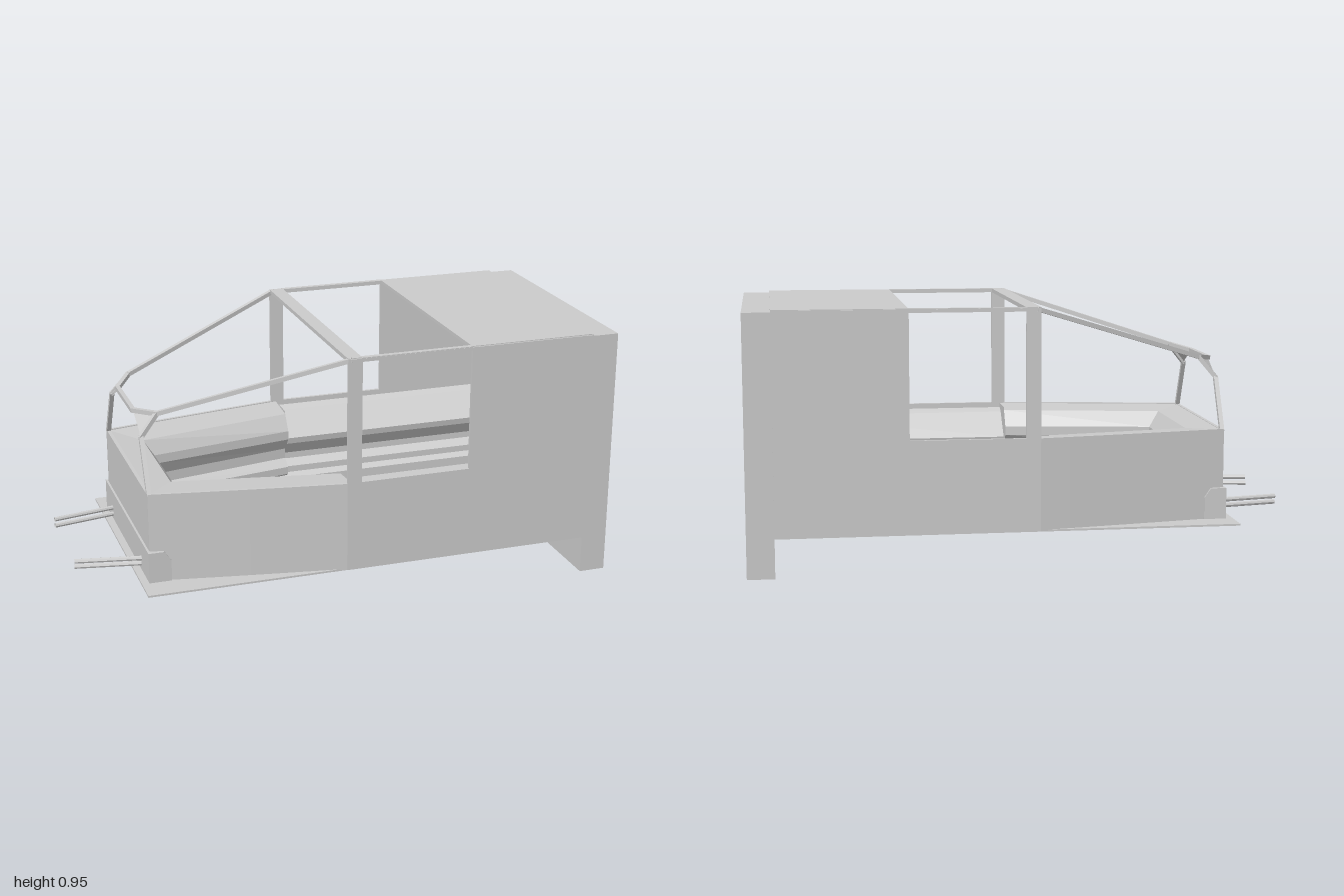
import * as THREE from 'three';

const mat = new THREE.MeshStandardMaterial({ color: 0xcccccc, side: THREE.DoubleSide, flatShading: true });

export function createModel() {
  const model = new THREE.Group();

  const add = (name, geometry) => {
    const mesh = new THREE.Mesh(geometry, mat);
    mesh.name = name;
    model.add(mesh);
    return mesh;
  };
  // box given by its limits on each axis
  const box = (name, x0, x1, y0, y1, z0, z1) =>
    add(name, new THREE.BoxGeometry(x1 - x0, y1 - y0, z1 - z0)
      .translate((x0 + x1) / 2, (y0 + y1) / 2, (z0 + z1) / 2));
  // surface stretched over rows of points
  const sheet = (name, rows) => {
    const n = rows[0].length, index = [];
    for (let i = 0; i < rows.length - 1; i++)
      for (let j = 0; j < n - 1; j++) {
        const a = i * n + j, b = a + n;
        index.push(a, b, a + 1, a + 1, b, b + 1);
      }
    const g = new THREE.BufferGeometry();
    g.setAttribute('position', new THREE.Float32BufferAttribute(rows.flat(2), 3));
    g.setIndex(index);
    const flat = g.toNonIndexed();
    flat.computeVertexNormals();
    return add(name, flat);
  };
  // straight square bar between two points
  const bar = (name, a, b, w = 0.016) => {
    const p = new THREE.Vector3(...a), q = new THREE.Vector3(...b);
    const mesh = add(name, new THREE.BoxGeometry(w, w, p.distanceTo(q) + w * 0.6));
    mesh.position.copy(p).add(q).multiplyScalar(0.5);
    mesh.lookAt(q);
    return mesh;
  };
  const polygon = (points) => new THREE.Shape(points.map(([x, y]) => new THREE.Vector2(x, y)));

  // rear slab, floor and roof
  box('rearWall', 0.9, 1, 0, 0.945, -0.475, 0.475);
  box('floor', -0.79, 0.9, 0.143, 0.15, -0.475, 0.475);
  box('roof', 0.42, 0.9, 0.94, 0.953, -0.475, 0.475);
  box('bulkhead', 0.885, 0.9, 0.145, 0.945, -0.475, 0.475);
  box('roofCrossbar', -0.05, 0.003, 0.938, 0.953, -0.475, 0.475);

  // nose: end plate and lower band
  box('nosePlate', -0.755, -0.742, 0.145, 0.482, -0.35, 0.35);
  box('noseBand', -0.763, -0.75, 0.145, 0.265, -0.37, 0.37);

  for (const s of [-1, 1]) {
    // side skin with window opening
    const side = polygon([[-0.05, 0.145], [0.9, 0.145], [0.9, 0.95], [-0.05, 0.95]]);
    side.holes.push(polygon([[0.003, 0.485], [0.003, 0.938], [0.42, 0.938], [0.42, 0.485]]));
    add('sidePanel', new THREE.ExtrudeGeometry(side, { depth: 0.012, bevelEnabled: false })
      .translate(0, 0, s > 0 ? 0.469 : -0.481));

    // roof edge above the window
    box('windowRail', 0, 0.42, 0.938, 0.953, s * 0.47 - 0.01, s * 0.47 + 0.01);

    // tapering nose side, slightly bowed
    const rows = [];
    for (let i = 0; i <= 6; i++) {
      const t = i / 6, x = -0.04 - 0.715 * t;
      const z = 0.481 - 0.126 * t + 0.012 * t * (1 - t);
      rows.push([[x, 0.145, s * (z - 0.012)], [x, 0.145, s * z], [x, 0.484, s * z], [x, 0.484, s * (z - 0.012)], [x, 0.145, s * (z - 0.012)]]);
    }
    sheet('noseSide', rows);

    // chamfered guard on the lower nose corner
    const guard = polygon([[-0.763, 0.145], [-0.68, 0.145], [-0.68, 0.23], [-0.705, 0.265], [-0.763, 0.265]]);
    add('cornerGuard', new THREE.ExtrudeGeometry(guard, { depth: 0.03, bevelEnabled: false })
      .translate(0, 0, s > 0 ? 0.345 : -0.375));

    // canopy frame: long strut, gusset and nose pillar
    const knee = [-0.685, 0.74, s * 0.235], front = [-0.748, 0.725, s * 0.13];
    const elbow = [-0.747, 0.665, s * 0.25];
    bar('canopyStrut', [-0.04, 0.945, s * 0.472], knee);
    bar('canopyCorner', knee, front);
    bar('canopyElbow', knee, elbow);
    bar('canopyPillar', elbow, [-0.748, 0.48, s * 0.347]);
    sheet('canopyGusset', [[front, front], [knee, elbow]]);

    // twin barrels, toed in towards the tip
    for (const [y, dz] of [[0.173, 0], [0.196, 0.006]]) {
      const a = new THREE.Vector3(-1, y, s * (0.197 + dz)), b = new THREE.Vector3(-0.745, y, s * (0.247 + dz));
      add('gunBarrel', new THREE.TubeGeometry(new THREE.LineCurve3(a, b), 1, 0.009, 8));
    }

    // rear console: faceted profile along the cabin
    const profile = [[0.47, 0.465], [0.44, 0.45], [0.35, 0.36], [0.355, 0.335], [0.4, 0.28], [0.4, 0.255],
      [0.36, 0.235], [0.36, 0.21], [0.385, 0.2], [0.36, 0.185], [0.36, 0.15]];
    sheet('rearConsole', [-0.03, 0.89].map((x) => profile.map(([z, y]) => [x, y, s * z])));
  }
  bar('canopyFrontBar', [-0.748, 0.725, -0.13], [-0.748, 0.725, 0.13]);

  // front console: the profile (distance outwards, height) runs round the nose in a U
  const inner = [[0.04, 0.47], [0, 0.41], [0, 0.375], [0.045, 0.32], [0.045, 0.28], [0.005, 0.255],
    [0.005, 0.225], [0.03, 0.21], [0.005, 0.19], [0.005, 0.15]];
  const rings = inner.map(([d, y]) => [
    [-0.03, y, -0.3 - d], [-0.6 - d, y, -0.205 - d / 2],
    [-0.6 - d, y, 0.205 + d / 2], [-0.03, y, 0.3 + d]]);
  const sill = [[-0.03, 0.481, -0.475], [-0.748, 0.481, -0.35], [-0.748, 0.481, 0.35], [-0.03, 0.481, 0.475]];
  sheet('frontConsole', [sill, ...rings]);

  // ends of the front console facing the cabin
  for (const s of [-1, 1])
    sheet('consoleEnd', [[0.04, 0.481], ...inner].map(([d, y]) => [[-0.03, y, s * (0.3 + d)], [-0.03, y, s * 0.472]]));

  return model;
}
